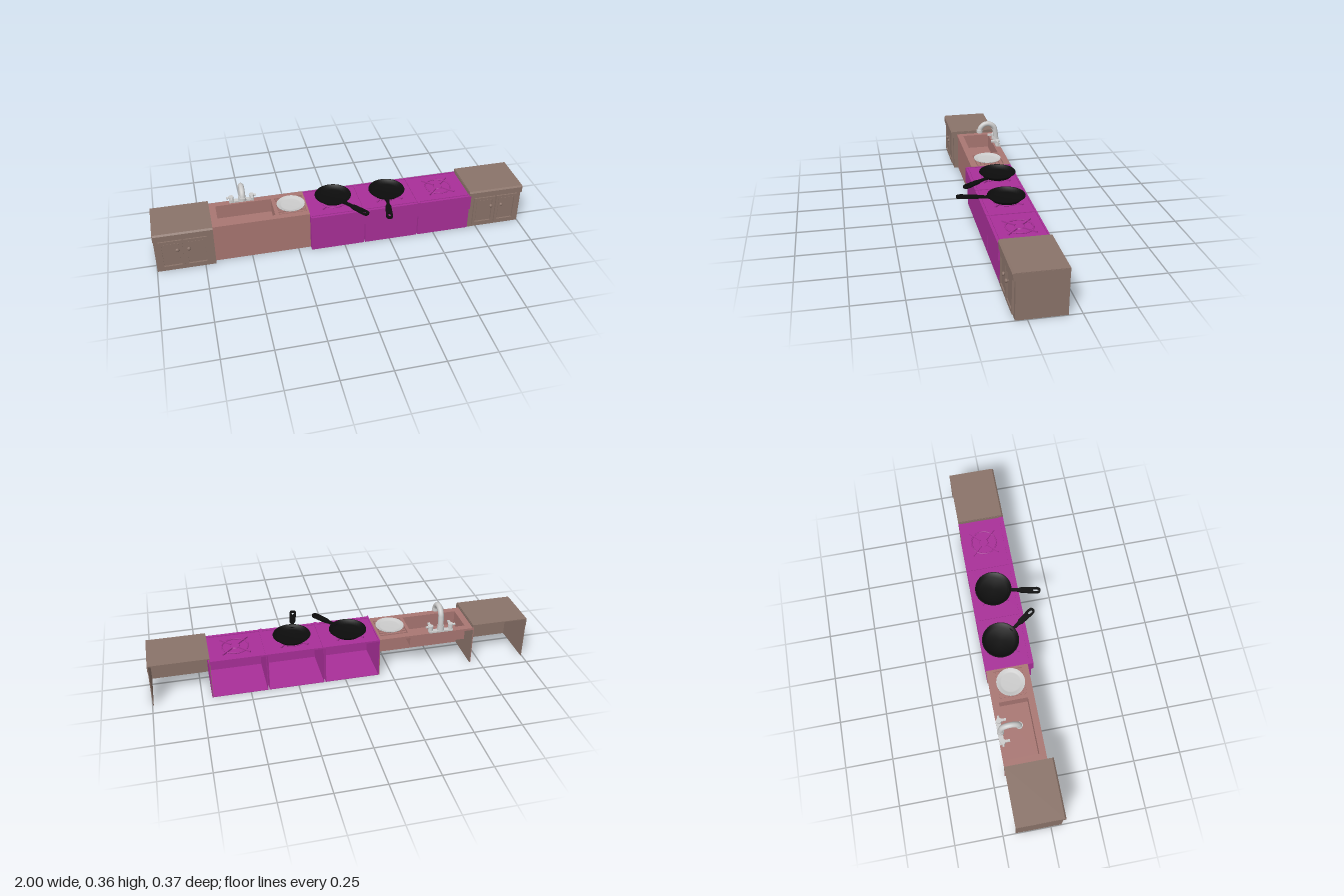
import * as THREE from 'three';

const mat = (color) => new THREE.MeshStandardMaterial({ color, side: THREE.DoubleSide });
const WOOD = mat(0x8a7369), CLAY = mat(0xa87672), PURPLE = mat(0xa82f98), BLACK = mat(0x0c0c0c), METAL = mat(0xcccccc);

function add(parent, name, geometry, material) {
  const mesh = new THREE.Mesh(geometry, material);
  mesh.name = name;
  parent.add(mesh);
  return mesh;
}

// Box given by its min and max on each axis
function box(parent, name, material, [x0, x1], [y0, y1], [z0, z1]) {
  const mesh = add(parent, name, new THREE.BoxGeometry(x1 - x0, y1 - y0, z1 - z0), material);
  mesh.position.set((x0 + x1) / 2, (y0 + y1) / 2, (z0 + z1) / 2);
  return mesh;
}

function cylinder(parent, name, material, r0, r1, h, x, y, z) {
  const mesh = add(parent, name, new THREE.CylinderGeometry(r0, r1, h, 20), material);
  mesh.position.set(x, y, z);
  return mesh;
}

function group(parent, name) {
  const g = new THREE.Group();
  g.name = name;
  parent.add(g);
  return g;
}

const outline = (points) => points.map(([x, y]) => new THREE.Vector2(x, y));

// Horizontal plate cut from a shape in x and -z, standing on y
function plate(parent, name, material, shape, y, depth) {
  const geo = new THREE.ExtrudeGeometry(shape, { depth, bevelEnabled: false, curveSegments: 8 });
  const mesh = add(parent, name, geo.rotateX(-Math.PI / 2), material);
  mesh.position.y = y;
  return mesh;
}

const rect = (x0, x1, z0, z1) => outline([[x0, -z1], [x1, -z1], [x1, -z0], [x0, -z0]]);

// Cabinet, open at the back and below; side is +1 or -1
function cabinet(parent, side) {
  const g = group(parent, side > 0 ? 'leftCabinet' : 'rightCabinet');
  const span = (a, b) => (side > 0 ? [a, b] : [-b, -a]);
  const B = -0.185;
  box(g, 'outerSide', WOOD, span(0.994, 0.998), [0, 0.234], [B, 0.055]);
  box(g, 'innerSide', WOOD, span(0.694, 0.697), [0, 0.232], [B, 0.055]);
  box(g, 'frontPanel', WOOD, span(0.697, 0.998), [0, 0.2], [0.051, 0.055]);

  // Worktop: thin top with a chamfered front lip
  const profile = new THREE.Shape(outline([[B, 0.232], [0.051, 0.232], [0.051, 0.197], [0.068, 0.197],
    [0.068, 0.229], [0.06, 0.237], [B, 0.237]]));
  const top = add(g, 'worktop', new THREE.ExtrudeGeometry(profile, { depth: 0.304, bevelEnabled: false }), WOOD);
  top.rotation.y = -Math.PI / 2;
  top.position.x = side > 0 ? 0.999 : -0.695;
  box(g, 'worktopEdge', WOOD, span(0.995, 1), [0.197, 0.234], [B, 0.066]);

  // Framed doors with round knobs
  for (const [a, b, knobX] of [[0.726, 0.846, 0.824], [0.854, 0.974, 0.883]]) {
    const [x0, x1] = span(a, b);
    const frame = new THREE.Shape(outline([[x0, 0.018], [x1, 0.018], [x1, 0.19], [x0, 0.19]]));
    frame.holes.push(new THREE.Path(outline([[x0 + 0.014, 0.034], [x0 + 0.014, 0.174],
      [x1 - 0.014, 0.174], [x1 - 0.014, 0.034]])));
    add(g, 'doorFrame', new THREE.ExtrudeGeometry(frame, { depth: 0.011, bevelEnabled: false }), WOOD).position.z = 0.054;
    box(g, 'doorPanel', WOOD, [x0 + 0.018, x1 - 0.018], [0.038, 0.17], [0.054, 0.061]);
    const stem = cylinder(g, 'knobStem', WOOD, 0.005, 0.005, 0.012, side * knobX, 0.133, 0.064);
    stem.rotation.x = Math.PI / 2;
    const knob = add(g, 'knob', new THREE.SphereGeometry(0.01, 16, 10), WOOD);
    knob.scale.z = 0.7;
    knob.position.set(side * knobX, 0.133, 0.07);
  }
}

function sinkUnit(parent) {
  const g = group(parent, 'sinkUnit');
  const [L, R, B, F] = [-0.7, -0.183, -0.185, 0.03];
  box(g, 'frontPanel', CLAY, [L, R], [0, 0.217], [F - 0.003, F]);
  box(g, 'side', CLAY, [L, L + 0.003], [0, 0.217], [B, F]);
  box(g, 'side', CLAY, [R - 0.003, R], [0, 0.217], [B, F]);

  // Counter with basin and drainer cut out
  const basin = [-0.66, -0.362, -0.15, 0.002], drainer = [-0.345, -0.195, -0.15, 0.002];
  const shape = new THREE.Shape(rect(L, R, B, F + 0.006));
  for (const h of [basin, drainer]) shape.holes.push(new THREE.Path(rect(...h).reverse()));
  plate(g, 'counter', CLAY, shape, 0.208, 0.012);

  const tray = (name, [x0, x1, z0, z1], floor) => {
    const t = 0.003;
    box(g, name + 'Floor', CLAY, [x0 - t, x1 + t], [floor - t, floor], [z0 - t, z1 + t]);
    for (const x of [x0 - t, x1]) box(g, name + 'Wall', CLAY, [x, x + t], [floor, 0.218], [z0 - t, z1 + t]);
    for (const z of [z0 - t, z1]) box(g, name + 'Wall', CLAY, [x0, x1], [floor, 0.218], [z, z + t]);
  };
  tray('basin', basin, 0.14);
  tray('drainer', drainer, 0.21);
  for (let i = 0; i < 7; i++) {
    const z = -0.14 + i * 0.021;
    box(g, 'drainerRib', CLAY, [-0.34, -0.2], [0.209, 0.219], [z, z + 0.011]);
  }

  const dish = add(g, 'plate', new THREE.LatheGeometry(outline([[0, 0], [0.045, 0], [0.075, 0.01],
    [0.075, 0.012], [0.056, 0.006], [0.05, 0.004], [0, 0.004]]), 40), METAL);
  dish.position.set(-0.267, 0.22, -0.07);
}

function tap(parent) {
  const g = group(parent, 'tap');
  const X = -0.517;
  box(g, 'base', METAL, [X - 0.065, X + 0.065], [0.218, 0.229], [-0.185, -0.16]);
  cylinder(g, 'spoutCollar', METAL, 0.017, 0.019, 0.03, X, 0.24, -0.17);

  // Swan-neck spout
  const path = [new THREE.Vector3(X, 0.23, -0.171), new THREE.Vector3(X, 0.27, -0.169)];
  for (let i = 0; i <= 8; i++) {
    const a = (i / 8) * Math.PI * 0.95;
    path.push(new THREE.Vector3(X, 0.297 + 0.046 * Math.sin(a), -0.119 - 0.046 * Math.cos(a)));
  }
  add(g, 'spout', new THREE.TubeGeometry(new THREE.CatmullRomCurve3(path), 40, 0.0145, 16), METAL);
  cylinder(g, 'nozzle', METAL, 0.0175, 0.0175, 0.016, X, 0.299, -0.073);

  // Hot and cold levers
  for (const s of [-1, 1]) {
    const x = X + s * 0.055;
    cylinder(g, 'valve', METAL, 0.011, 0.013, 0.026, x, 0.238, -0.168);
    cylinder(g, 'valveCap', METAL, 0.014, 0.014, 0.01, x, 0.252, -0.168);
    box(g, 'lever', METAL, [x - 0.006, x + 0.006], [0.246, 0.256], [-0.168, -0.131]);
    const arm = cylinder(g, 'leverArm', METAL, 0.006, 0.006, 0.022, x + s * 0.014, 0.25, -0.168);
    arm.rotation.z = Math.PI / 2;
  }
}

// One hob module, open at the back
function hob(parent, x0, x1) {
  const g = group(parent, 'hobModule');
  const B = -0.185, cx = (x0 + x1) / 2, cz = -0.065, t = 0.003;
  box(g, 'floor', PURPLE, [x0, x1], [0, t], [B, 0.058]);
  for (const x of [x0, x1 - t]) box(g, 'side', PURPLE, [x, x + t], [0, 0.215], [B, 0.058]);
  box(g, 'lowerFront', PURPLE, [x0, x1], [0, 0.135], [0.055, 0.058]);
  box(g, 'upperFront', PURPLE, [x0 - 0.003, x1 + 0.003], [0.13, 0.214], [0.055, 0.068]);
  box(g, 'top', PURPLE, [x0 - 0.003, x1 + 0.003], [0.209, 0.214], [B, 0.068]);
  // Raised rim
  for (const x of [x0 - 0.003, x1 - 0.005]) box(g, 'rim', PURPLE, [x, x + 0.008], [0.213, 0.218], [B, 0.068]);
  for (const z of [B, 0.046]) box(g, 'rim', PURPLE, [x0, x1], [0.213, 0.218], [z, z + 0.008]);

  // Burner with ring and crossed grate
  cylinder(g, 'burnerCap', PURPLE, 0.022, 0.026, 0.008, cx, 0.216, cz);
  const ring = add(g, 'burnerRing', new THREE.TorusGeometry(0.068, 0.004, 6, 32), PURPLE);
  ring.rotation.x = Math.PI / 2;
  ring.position.set(cx, 0.217, cz);
  for (let i = 0; i < 4; i++) {
    const a = Math.PI / 4 + (i * Math.PI) / 2;
    const bar = add(g, 'grateBar', new THREE.BoxGeometry(0.075, 0.009, 0.008), PURPLE);
    bar.rotation.y = a;
    bar.position.set(cx + 0.062 * Math.cos(a), 0.2175, cz - 0.062 * Math.sin(a));
  }
}

// Frying pan whose handle points at (tipX, tipZ)
function pan(parent, x, z, tipX, tipZ) {
  const g = group(parent, 'fryingPan');
  g.position.set(x, 0.223, z);
  g.rotation.y = Math.atan2(z - tipZ, tipX - x);
  add(g, 'panBowl', new THREE.LatheGeometry(outline([[0, 0], [0.074, 0], [0.094, 0.02], [0.098, 0.022],
    [0.097, 0.024], [0.092, 0.022], [0.072, 0.004], [0, 0.004]]), 40), BLACK);
  const end = Math.hypot(tipX - x, tipZ - z);
  const half = [[0.08, 0.012], [0.105, 0.007], [0.135, 0.009], [0.15, 0.015], [end - 0.02, 0.018], [end - 0.005, 0.014], [end, 0.006]];
  const shape = new THREE.Shape(outline([...half.map(([a, w]) => [a, -w]), ...half.slice().reverse()]));
  const slot = new THREE.Path();
  slot.absellipse(end - 0.026, 0, 0.016, 0.008, 0, Math.PI * 2, true);
  shape.holes.push(slot);
  plate(g, 'panHandle', BLACK, shape, 0.004, 0.011);
}

export function createModel() {
  const model = new THREE.Group();
  model.name = 'kitchenCounter';
  for (const side of [-1, 1]) cabinet(model, side);
  sinkUnit(model);
  tap(model);
  for (const [x0, x1] of [[-0.182, 0.107], [0.113, 0.404], [0.41, 0.7]]) hob(model, x0, x1);
  pan(model, -0.035, -0.08, 0.108, 0.125);
  pan(model, 0.26, -0.065, 0.208, 0.183);
  return model;
}
